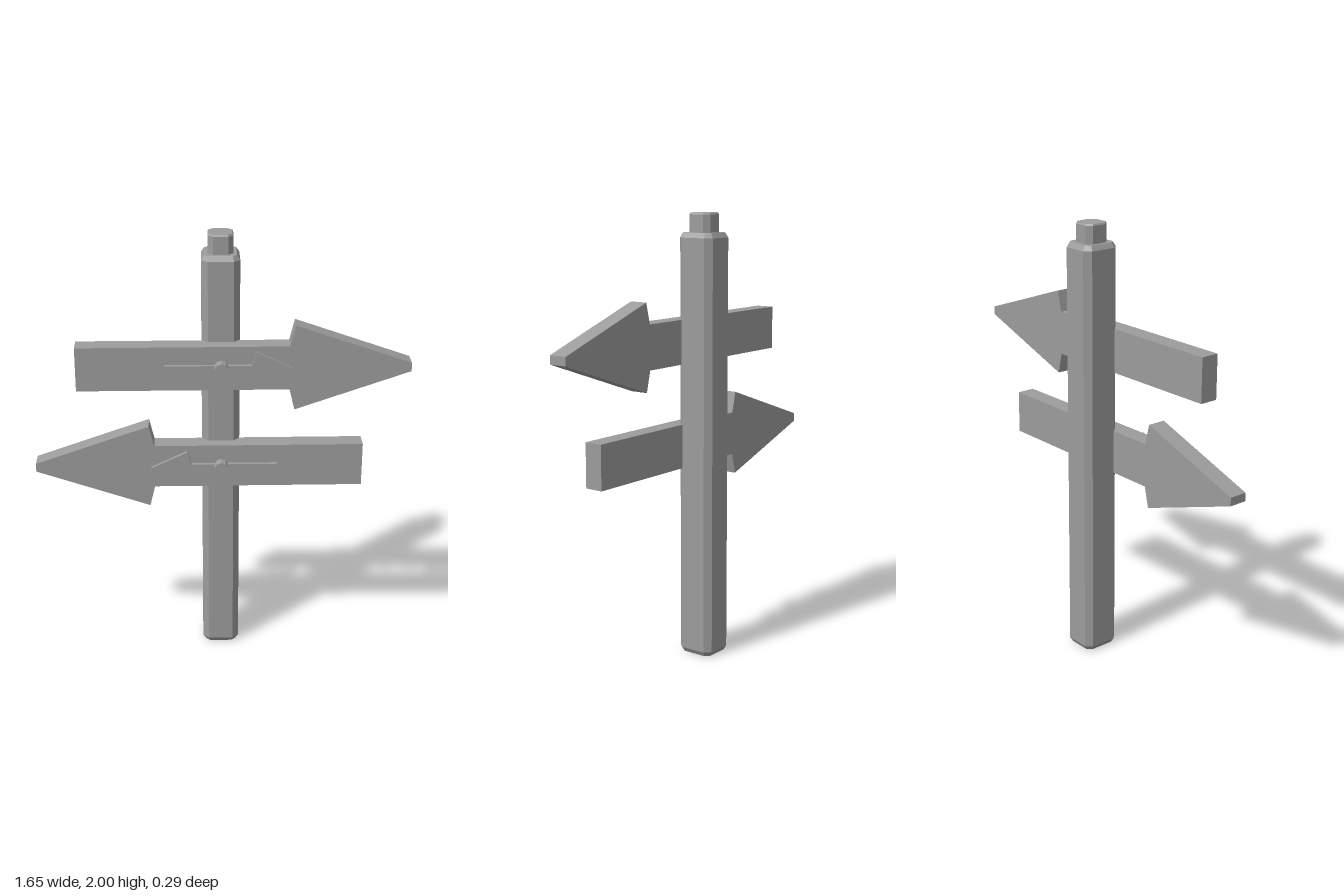
import * as THREE from 'three';

const grey = new THREE.MeshStandardMaterial({ color: 0x9c9c9c });
grey.name = 'weathered grey';

const POST_Z = -0.057;

function addMesh(parent, name, geometry) {
  const mesh = new THREE.Mesh(geometry, grey);
  mesh.name = name;
  parent.add(mesh);
  return mesh;
}

// Upright block with cut corners and bevelled ends, from y0 to y1
function chamferedColumn(hx, hz, cut, y0, y1, bevel) {
  const shape = new THREE.Shape([
    [hx, -hz + cut], [hx, hz - cut], [hx - cut, hz], [-hx + cut, hz],
    [-hx, hz - cut], [-hx, -hz + cut], [-hx + cut, -hz], [hx - cut, -hz],
  ].map(([x, y]) => new THREE.Vector2(x, y)));
  const geometry = new THREE.ExtrudeGeometry(shape, {
    depth: y1 - y0 - 2 * bevel, bevelEnabled: true, bevelSegments: 1,
    bevelThickness: bevel, bevelSize: bevel * 0.6, bevelOffset: -bevel * 0.6,
  });
  geometry.rotateX(-Math.PI / 2);
  geometry.translate(0, y0 + bevel, POST_Z);
  return geometry;
}

// Flat arrow pointing along +x (dir 1) or -x (dir -1)
function arrow(points, dir, depth) {
  const shape = new THREE.Shape(points.map(([x, y]) => new THREE.Vector2(x * dir, y)));
  return new THREE.ExtrudeGeometry(shape, { depth, bevelEnabled: false });
}

// Outlines relative to the bolt centre
const BOARD = [
  [-0.63, -0.107], [0.297, -0.107], [0.32, -0.202], [0.825, -0.027],
  [0.825, 0.011], [0.32, 0.187], [0.297, 0.092], [-0.63, 0.092],
];
const PLATE = [
  [-0.247, -0.028], [0.132, -0.028], [0.149, -0.09], [0.31, -0.026],
  [0.31, 0.001], [0.149, 0.077], [0.132, 0.016], [-0.247, 0.016],
];

function createSign(name, y, dir, boardZ) {
  const sign = new THREE.Group();
  sign.name = name;
  sign.position.y = y;
  addMesh(sign, 'arrowBoard', arrow(BOARD, dir, 0.085)).position.z = boardZ;
  addMesh(sign, 'smallArrowPlate', arrow(PLATE, dir, 0.016)).position.z = 0.105;
  // Round bolt through the small plate
  const boltGeometry = new THREE.CylinderGeometry(0.033, 0.033, 0.045, 10).toNonIndexed();
  boltGeometry.computeVertexNormals();
  boltGeometry.rotateX(Math.PI / 2);
  addMesh(sign, 'bolt', boltGeometry).position.z = 0.1235;
  return sign;
}

export function createModel() {
  const model = new THREE.Group();
  model.name = 'signpost';
  addMesh(model, 'post', chamferedColumn(0.083, 0.089, 0.027, 0, 1.915, 0.022));
  addMesh(model, 'postCap', chamferedColumn(0.055, 0.057, 0.023, 1.9, 2, 0.007));
  model.add(createSign('upperSign', 1.443, 1, 0.008));
  model.add(createSign('lowerSign', 0.975, -1, 0.001));
  return model;
}
